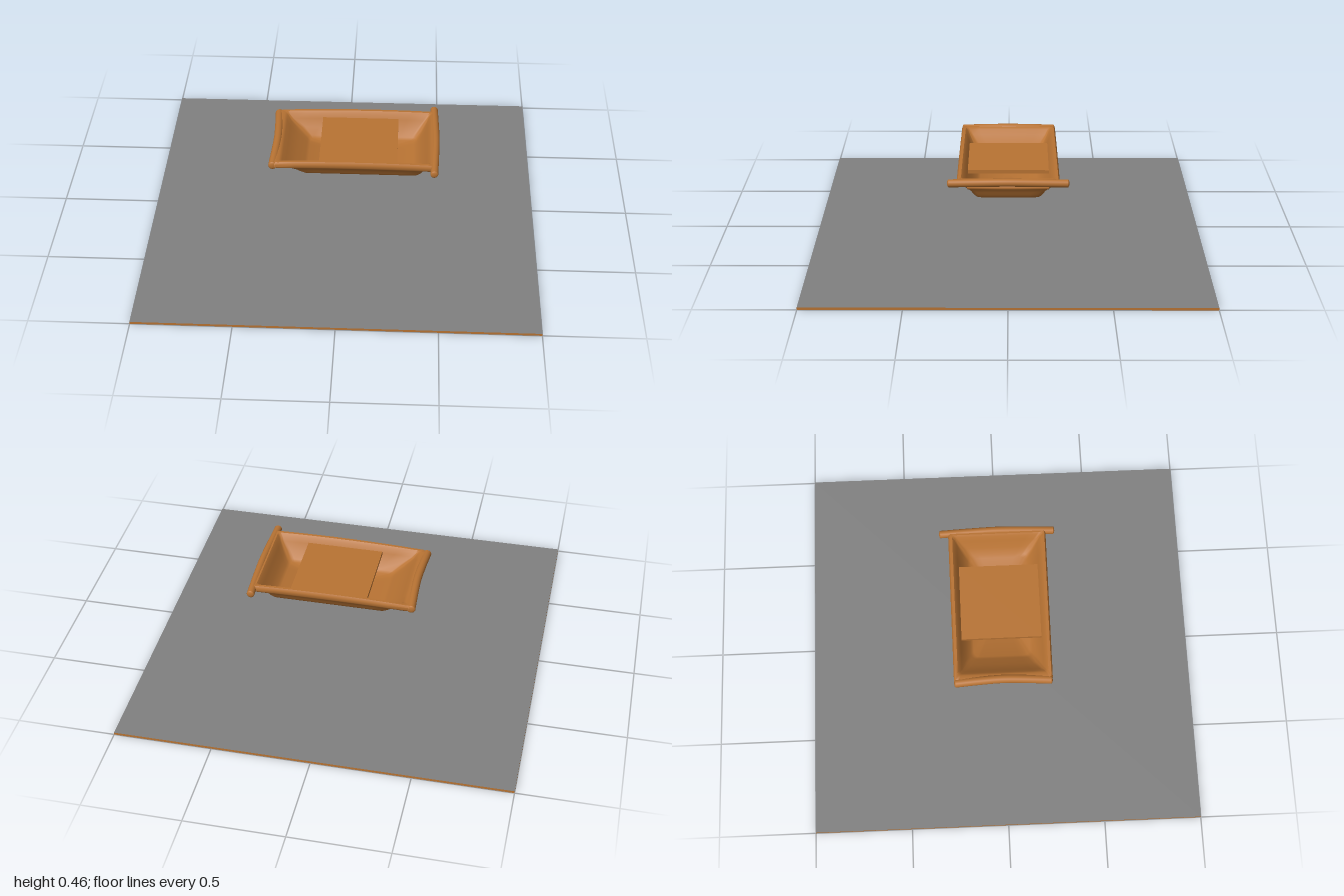
import * as THREE from 'three';
import { toCreasedNormals } from 'three/addons/utils/BufferGeometryUtils.js';

// Rounded rectangle in plan, as [x, z] points running from +x towards +z
function roundedLoop(x0, x1, z, radius) {
  const r = Math.min(radius, (x1 - x0) / 2, z);
  const pts = [];
  const corners = [[x1 - r, z - r], [x0 + r, z - r], [x0 + r, r - z], [x1 - r, r - z]];
  corners.forEach(([cx, cz], k) => {
    for (let i = 0; i <= 5; i++) {
      const a = (k + i / 5) * Math.PI / 2;
      pts.push([cx + r * Math.cos(a), cz + r * Math.sin(a)]);
    }
    // extra points along each side so the rim can bow
    const next = corners[(k + 1) % 4];
    const a = (k + 1) * Math.PI / 2;
    for (let i = 1; i < 8; i++) {
      const t = i / 8;
      pts.push([
        cx + (next[0] - cx) * t + r * Math.cos(a),
        cz + (next[1] - cz) * t + r * Math.sin(a),
      ]);
    }
  });
  return pts;
}

// Skin through rings of [x0, x1, half depth, y, corner radius]
function loft(rings) {
  const pos = [], index = [];
  let n = 0;
  rings.forEach(([x0, x1, z, y, r]) => {
    const loop = roundedLoop(x0, x1, z, r);
    n = loop.length;
    for (const [px, pz] of loop) {
      const rise = Math.max(0, (y - 0.38) / 0.07);
      const bow = 0.012 * rise * (1 - ((px - 0.12) / 0.46) ** 2);
      const flare = 1 + 0.025 * px * rise;
      pos.push(px, y + bow, pz * flare);
    }
  });
  for (let j = 0; j < rings.length - 1; j++) {
    for (let i = 0; i < n; i++) {
      const a = j * n + i, b = j * n + (i + 1) % n;
      index.push(a, a + n, b, b, a + n, b + n);
    }
  }
  const geo = new THREE.BufferGeometry();
  geo.setAttribute('position', new THREE.Float32BufferAttribute(pos, 3));
  geo.setIndex(index);
  return toCreasedNormals(geo, 0.7);
}

export function createModel() {
  const group = new THREE.Group();
  const copper = new THREE.MeshStandardMaterial({ color: 0xb87333 });
  copper.name = 'copper brown';
  const grey = new THREE.MeshStandardMaterial({ color: 0x808080 });
  grey.name = 'ground grey';

  const add = (name, geo, mat = copper, parent = group) => {
    const mesh = new THREE.Mesh(geo, mat);
    mesh.name = name;
    parent.add(mesh);
    return mesh;
  };

  // Ground slab: grey top, brown sides and underside
  add('groundSlab', new THREE.BoxGeometry(2, 0.012, 2),
    [copper, copper, grey, copper, copper, copper]).position.y = 0.006;

  // Tray: outside from the underside up, over the rim, then down to the floor
  add('tray', loft([
    [0.09, 0.0902, 0.0001, 0.32, 0.0001],
    [-0.19, 0.37, 0.145, 0.32, 0.03],
    [-0.215, 0.395, 0.165, 0.33, 0.03],
    [-0.235, 0.41, 0.178, 0.348, 0.03],
    [-0.25, 0.415, 0.185, 0.362, 0.03],
    [-0.28, 0.432, 0.205, 0.385, 0.03],
    [-0.31, 0.445, 0.225, 0.402, 0.025],
    [-0.345, 0.465, 0.245, 0.412, 0.02],
    [-0.355, 0.472, 0.253, 0.422, 0.015],
    [-0.355, 0.472, 0.253, 0.438, 0.015],
    [-0.345, 0.465, 0.246, 0.448, 0.015],
    [-0.322, 0.452, 0.232, 0.448, 0.015],
    [-0.308, 0.442, 0.221, 0.438, 0.015],
    [-0.29, 0.43, 0.21, 0.415, 0.02],
    [-0.245, 0.405, 0.185, 0.38, 0.03],
    [-0.2, 0.38, 0.16, 0.345, 0.03],
    [-0.185, 0.365, 0.145, 0.335, 0.03],
    [0.09, 0.0902, 0.0001, 0.335, 0.0001],
  ]));

  // Flat panel bridging the tray
  add('centrePanel', new THREE.BoxGeometry(0.4, 0.018, 0.41)).position.set(0.08, 0.422, 0);

  // Rounded bars across both ends, each closed by ball ends
  const bar = (name, points, radius) => {
    const part = new THREE.Group();
    part.name = name;
    group.add(part);
    const curve = new THREE.CatmullRomCurve3(points.map((p) => new THREE.Vector3(...p)));
    add('rod', new THREE.TubeGeometry(curve, 24, radius, 14), copper, part);
    for (const p of [points[0], points[points.length - 1]]) {
      const ball = add('rodEnd', new THREE.SphereGeometry(radius, 14, 10), copper, part);
      ball.position.set(...p);
      ball.scale.z = 0.4;
    }
  };
  bar('endBar', [[0.468, 0.434, -0.295], [0.473, 0.438, -0.15], [0.476, 0.441, 0],
    [0.473, 0.438, 0.15], [0.468, 0.434, 0.295]], 0.02);
  bar('endLip', [[-0.354, 0.428, -0.242], [-0.347, 0.434, -0.12], [-0.343, 0.437, 0],
    [-0.347, 0.434, 0.12], [-0.354, 0.428, 0.242]], 0.022);

  // Shallow bead under the end bar
  bar('underBead', [[0.468, 0.416, -0.2], [0.47, 0.414, 0], [0.468, 0.416, 0.2]], 0.014);

  return group;
}
